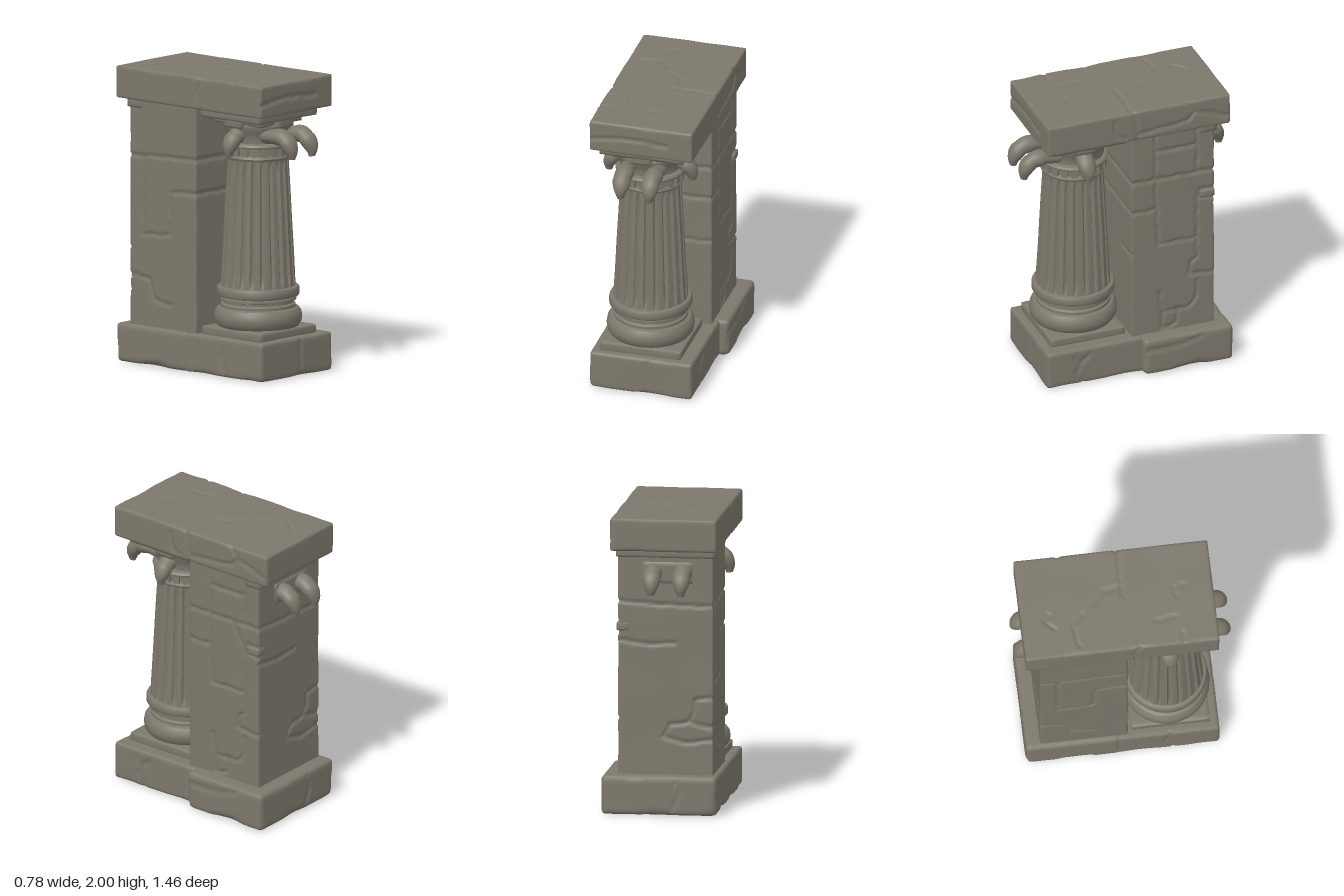
import * as THREE from 'three';
import { mergeVertices, toCreasedNormals } from 'three/addons/utils/BufferGeometryUtils.js';

const stoneGrey = new THREE.MeshStandardMaterial({ color: 0x7d786c });
stoneGrey.name = 'stone grey';

const CX = -0.055, CZ = 0.305; // column axis

// Smooth pseudo-noise, about -1..1
const noise = (p, f) =>
  (Math.sin(p.x * f + 1.3 * Math.sin(p.y * f * 0.7 + 2)) +
    Math.sin(p.y * f * 1.1 + 1.7 * Math.sin(p.z * f * 0.8)) +
    Math.sin(p.z * f * 0.9 + 1.5 * Math.sin(p.x * f * 0.6 + 4))) / 3;

function addMesh(parent, name, geometry) {
  const mesh = new THREE.Mesh(geometry, stoneGrey);
  mesh.name = name;
  parent.add(mesh);
  return mesh;
}

// Worn block: rounded, chipped edges, uneven faces and carved cracks
function stone(parent, name, lo, hi, { r = 0.015, step = 0.03, cracks = [], rough = 0.003 } = {}) {
  const min = new THREE.Vector3(...lo), max = new THREE.Vector3(...hi);
  const size = max.clone().sub(min), mid = min.clone().add(max).multiplyScalar(0.5);
  const seg = (s) => Math.max(4, Math.round(s / step));
  let geo = new THREE.BoxGeometry(size.x, size.y, size.z, seg(size.x), seg(size.y), seg(size.z));
  geo.translate(mid.x, mid.y, mid.z);
  geo.deleteAttribute('uv');
  geo.deleteAttribute('normal');
  geo = mergeVertices(geo, 1e-5);
  const lines = [];
  for (const c of cracks)
    for (let i = 1; i < c.length; i++)
      lines.push(new THREE.Line3(new THREE.Vector3(...c[i - 1]), new THREE.Vector3(...c[i])));
  const pos = geo.attributes.position;
  const p = new THREE.Vector3(), q = new THREE.Vector3(), n = new THREE.Vector3(), near = new THREE.Vector3();
  for (let i = 0; i < pos.count; i++) {
    p.fromBufferAttribute(pos, i);
    const rad = r * (1 + 1.2 * Math.max(0, noise(p, 17)));
    q.copy(p).clamp(min.clone().addScalar(rad), max.clone().subScalar(rad));
    n.copy(p).sub(q).normalize();
    let depth = rough * (0.5 + 0.5 * noise(p, 11));
    // wobble the sample point so the cracks run unevenly
    const w = p.clone().addScalar(0.007 * noise(p, 45));
    let d = 1;
    for (const l of lines) d = Math.min(d, l.closestPointToPoint(w, true, near).distanceTo(w));
    depth += 0.014 * Math.max(0, 1 - d / 0.017);
    p.copy(q).addScaledVector(n, rad - depth);
    pos.setXYZ(i, p.x, p.y, p.z);
  }
  geo.computeVertexNormals();
  return addMesh(parent, name, geo);
}

// Crack helpers: 2D points placed on a plane of constant x, y or z
const onX = (x, ...pts) => pts.map(([z, y]) => [x, y, z]);
const onY = (y, ...pts) => pts.map(([x, z]) => [x, y, z]);
const onZ = (z, ...pts) => pts.map(([x, y]) => [x, y, z]);

const lathe = (pts, sides = 64) =>
  toCreasedNormals(new THREE.LatheGeometry(pts.map(([r, y]) => new THREE.Vector2(r, y)), sides), 0.6);

// Tapered shaft with vertical flutes
function flutedShaft(y0, y1, r0, r1, flutes) {
  const geo = new THREE.CylinderGeometry(1, 1, 1, flutes * 8, 16, true);
  const pos = geo.attributes.position, p = new THREE.Vector3();
  for (let i = 0; i < pos.count; i++) {
    p.fromBufferAttribute(pos, i);
    const a = Math.atan2(p.z, p.x), t = p.y + 0.5;
    const groove = Math.max(0, Math.cos(a * flutes)) ** 0.6;
    const end = Math.min(1, t * 25, (1 - t) * 25);
    const r = r0 + (r1 - r0) * t - 0.019 * groove * end + 0.002 * noise(p, 9);
    pos.setXYZ(i, p.x * r, y0 + (y1 - y0) * t, p.z * r);
  }
  geo.computeVertexNormals();
  return toCreasedNormals(geo, 0.7);
}

// Drooping spout: ellipses swept out along +z and then down
function spoutGeometry() {
  const path = new THREE.CatmullRomCurve3(
    [[0.1, 1.62], [0.22, 1.625], [0.3, 1.625], [0.355, 1.595], [0.385, 1.54], [0.39, 1.488]]
      .map(([z, y]) => new THREE.Vector3(0, y, z)));
  const widths = [0.05, 0.058, 0.063, 0.06, 0.042, 0.022];
  const thick = [0.05, 0.05, 0.055, 0.055, 0.042, 0.022];
  const at = (a, t) => {
    const f = Math.min(t * (a.length - 1), a.length - 1.001), i = Math.floor(f);
    return a[i] + (a[i + 1] - a[i]) * (f - i);
  };
  const geo = new THREE.CylinderGeometry(1, 1, 1, 20, 24);
  const pos = geo.attributes.position, X = new THREE.Vector3(1, 0, 0);
  for (let i = 0; i < pos.count; i++) {
    const t = 0.5 - pos.getY(i), px = pos.getX(i), pz = pos.getZ(i);
    const c = path.getPoint(t), normal = X.clone().cross(path.getTangent(t).negate());
    const lump = 1 + 0.1 * noise(c.clone().setX(px * 0.06), 60);
    c.addScaledVector(normal, pz * at(thick, t) * lump);
    pos.setXYZ(i, px * at(widths, t) * lump, c.y, c.z);
  }
  geo.computeVertexNormals();
  return toCreasedNormals(geo, 0.9);
}

export function createModel() {
  const model = new THREE.Group();
  model.name = 'ruinedPillar';

  // Footing in two blocks, the rear one wider
  stone(model, 'frontFooting', [-0.388, 0, -0.06], [0.322, 0.262, 0.632], {
    r: 0.018, step: 0.02, cracks: [
      onX(0.322, [0.44, 0.2], [0.4, 0.15], [0.42, 0.08], [0.38, 0]),
      onX(0.322, [0.4, 0.15], [0.34, 0.2]),
      onZ(0.632, [0, 0.26], [0.01, 0.2], [0, 0]),
      onX(-0.388, [0.3, 0.26], [0.27, 0.12], [0.32, 0])],
  });
  stone(model, 'rearFooting', [-0.392, 0, -0.672], [0.386, 0.264, -0.035], {
    r: 0.03, step: 0.02, cracks: [
      onX(0.386, [-0.05, 0.18], [-0.3, 0.19], [-0.45, 0.22]),
      onZ(-0.672, [-0.1, 0.26], [-0.14, 0.15], [-0.1, 0.05]),
      onY(0, [-0.1, -0.3], [0, -0.36], [0.1, -0.33], [0.16, -0.4])],
  });

  // Wall with masonry seams
  const R = 0.286, L = -0.357, B = -0.572, F = 0.02;
  const rightCracks = [
    onX(R, [F, 1.43], [B, 1.43]),
    onX(R, [F, 1.2], [-0.14, 1.2]),
    onX(R, [-0.155, 1.78], [-0.155, 1.35], [-0.175, 0.93], [-0.45, 0.93], [-0.45, 1.25], [-0.42, 1.3], [-0.35, 1.42]),
    onX(R, [-0.45, 1.78], [-0.45, 1.43]),
    onX(R, [-0.16, 1.64], [-0.45, 1.64]),
    onX(R, [-0.45, 0.93], [-0.45, 0.78], [-0.4, 0.75], [-0.39, 0.66], [B, 0.64]),
    onX(R, [-0.45, 0.6], [-0.45, 0.47], [-0.38, 0.41], [-0.2, 0.41], [-0.18, 0.56]),
    onX(R, [-0.2, 0.41], [-0.2, 0.28], [-0.31, 0.3], [-0.3, 0.41]),
    onX(R, [B, 1.29], [-0.47, 1.29], [-0.47, 1.23], [B, 1.22]),
  ];
  const otherCracks = [
    onZ(F, [L, 1.2], [R, 1.2]),
    onZ(F, [L, 1.43], [R, 1.43]),
    onZ(F, [0.1, 0.88], [R, 0.88]),
    onZ(B, [R, 1.43], [0, 1.41], [L, 1.4]),
    onZ(B, [R, 1.17], [0.1, 1.14], [-0.1, 1.15]),
    onZ(B, [L, 0.78], [-0.24, 0.78], [-0.2, 0.62], [L, 0.58]),
    onZ(B, [-0.2, 0.62], [-0.06, 0.6], [-0.02, 0.52], [-0.16, 0.48], [L, 0.5]),
    onX(L, [F, 1.43], [-0.3, 1.42], [B, 1.4]),
    onX(L, [F, 1.2], [-0.2, 1.19], [-0.22, 0.9], [-0.45, 0.88], [-0.45, 1.41]),
    onX(L, [B, 0.6], [-0.4, 0.58], [-0.36, 0.45], [-0.2, 0.42]),
  ];
  stone(model, 'wall', [L, 0.24, B], [R, 1.8, F], { r: 0.008, step: 0.0135, cracks: [...rightCracks, ...otherCracks] });
  stone(model, 'wallChip', [0.2, 1.225, -0.575], [0.298, 1.285, -0.47], { r: 0.012 });
  stone(model, 'wallCornice', [-0.37, 1.725, -0.59], [0.298, 1.8, -0.46], { r: 0.01 });
  stone(model, 'spoutPanel', [-0.22, 1.55, -0.58], [0.12, 1.7, -0.5], { r: 0.006 });

  // Top slab
  stone(model, 'topSlab', [-0.39, 1.78, -0.672], [0.326, 2, 0.63], {
    r: 0.012, step: 0.0145, cracks: [
      onY(2, [0, 0.02], [0.326, 0.025]),
      onY(2, [0.06, 0.02], [0.04, -0.1], [-0.05, -0.18]),
      onY(2, [-0.33, -0.3], [-0.17, -0.34], [-0.1, -0.26]),
      onY(2, [-0.21, 0.22], [-0.19, 0.36]),
      onY(2, [-0.05, 0.37], [0.02, 0.38], [0.03, 0.43]),
      onY(2, [-0.39, 0.39], [-0.31, 0.39]),
      onY(2, [-0.2, -0.45], [-0.12, -0.52], [-0.08, -0.48]),
      onX(0.326, [0.01, 2], [-0.01, 1.78]),
      onX(0.326, [0.16, 1.95], [0.14, 1.84], [0.08, 1.81]),
      onX(0.326, [-0.37, 2], [-0.42, 1.92], [-0.55, 1.88], [-0.65, 1.84]),
      onX(0.326, [-0.42, 1.92], [-0.37, 1.86], [-0.02, 1.83]),
      onX(-0.39, [0.1, 2], [0.06, 1.9], [0.08, 1.78]),
      onZ(0.63, [-0.39, 1.87], [-0.1, 1.9], [0.15, 1.88])],
  });

  // Column
  const column = new THREE.Group();
  column.name = 'column';
  column.position.set(CX, 0, CZ);
  model.add(column);
  stone(column, 'columnPlinth', [-0.275, 0.25, -0.265], [0.285, 0.318, 0.268], { r: 0.01 });
  addMesh(column, 'columnBase', lathe([
    [0.25, 0.31], [0.27, 0.32], [0.288, 0.345], [0.294, 0.38], [0.288, 0.415], [0.27, 0.44], [0.25, 0.447],
    [0.25, 0.465], [0.235, 0.475], [0.235, 0.49], [0.255, 0.495], [0.255, 0.51], [0.24, 0.515],
    [0.27, 0.522], [0.277, 0.535], [0.277, 0.572], [0.27, 0.585], [0.23, 0.595]]));
  addMesh(column, 'columnShaft', flutedShaft(0.585, 1.455, 0.25, 0.203, 22));
  addMesh(column, 'columnCapital', lathe([
    [0.18, 1.445], [0.215, 1.45], [0.222, 1.465], [0.215, 1.48], [0.205, 1.485], [0.205, 1.53],
    [0.232, 1.535], [0.236, 1.55], [0.228, 1.562], [0.205, 1.57], [0.205, 1.6], [0.215, 1.64],
    [0.235, 1.67], [0.235, 1.69], [0.2, 1.71]]));
  for (let i = 0; i < 20; i++) {
    const a = (i / 20) * Math.PI * 2;
    const dentil = addMesh(column, 'capitalDentil', new THREE.BoxGeometry(0.042, 0.05, 0.04));
    dentil.position.set(Math.sin(a) * 0.205, 1.508, Math.cos(a) * 0.205);
    dentil.rotation.y = a;
  }
  // Stepped abacus
  stone(column, 'abacus', [-0.285, 1.725, -0.27], [0.3, 1.8, 0.262], { r: 0.008 });
  stone(column, 'abacusStep', [-0.21, 1.69, -0.21], [0.21, 1.76, 0.21], { r: 0.008 });
  for (const [w, d] of [[0.075, 0.25], [0.26, 0.075]])
    stone(column, 'abacusBoss', [-w, 1.672, -d], [w, 1.76, d], { r: 0.008 });

  // Drooping spouts: pairs at front and back, one on each side of the column
  const spout = spoutGeometry();
  for (const [x, z, turn] of [
    [-0.153, 0.305, 0], [0.047, 0.305, 0],
    [-0.153, -0.305, Math.PI], [0.047, -0.305, Math.PI],
    [CX - 0.1, CZ, Math.PI / 2], [CX + 0.11, CZ, -Math.PI / 2],
  ]) {
    const m = addMesh(model, 'spout', spout);
    m.position.set(x, 0, z);
    m.rotation.y = turn;
    // side spouts sit closer to the column
    if (Math.abs(turn) === Math.PI / 2) m.position.x = CX - Math.sign(turn) * 0.1;
  }
  return model;
}
